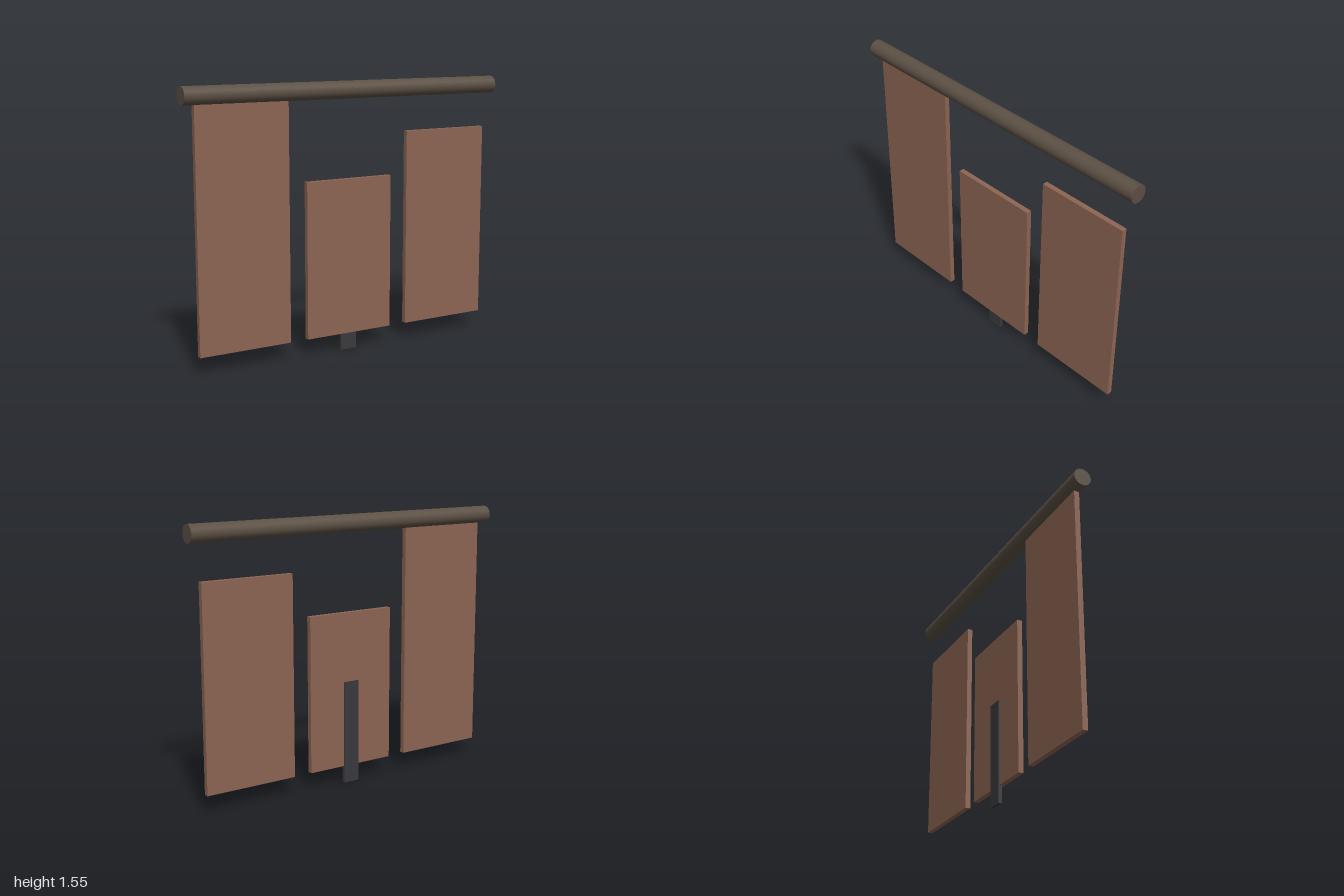
import * as THREE from 'three';

export function createModel() {
  const group = new THREE.Group();
  const panelMat = new THREE.MeshStandardMaterial({ color: 0x8d6553 });
  const rodMat = new THREE.MeshStandardMaterial({ color: 0x5c5044 });
  const postMat = new THREE.MeshStandardMaterial({ color: 0x3a3a3e });

  const add = (name, geometry, material, x, y, z) => {
    const mesh = new THREE.Mesh(geometry, material);
    mesh.name = name;
    mesh.position.set(x, y, z);
    group.add(mesh);
    return mesh;
  };

  // Horizontal rod across the top
  const rod = add('topRod', new THREE.CylinderGeometry(0.05, 0.05, 2, 32), rodMat, 0, 1.5, 0);
  rod.rotation.z = Math.PI / 2;

  // Three thin panels sharing a bottom edge; the tallest meets the rod
  const bottom = 0.1;
  const panels = [
    ['rightPanel', -0.66, 1.4],
    ['centrePanel', 0, 0.9],
    ['leftPanel', 0.66, 1.15],
  ];
  for (const [name, x, height] of panels) {
    add(name, new THREE.BoxGeometry(0.55, height, 0.03), panelMat, x, bottom + height / 2, 0);
  }

  // Flat post behind the centre panel, reaching the ground
  add('rearPost', new THREE.BoxGeometry(0.1, 0.6, 0.02), postMat, 0, 0.3, -0.01);

  return group;
}
